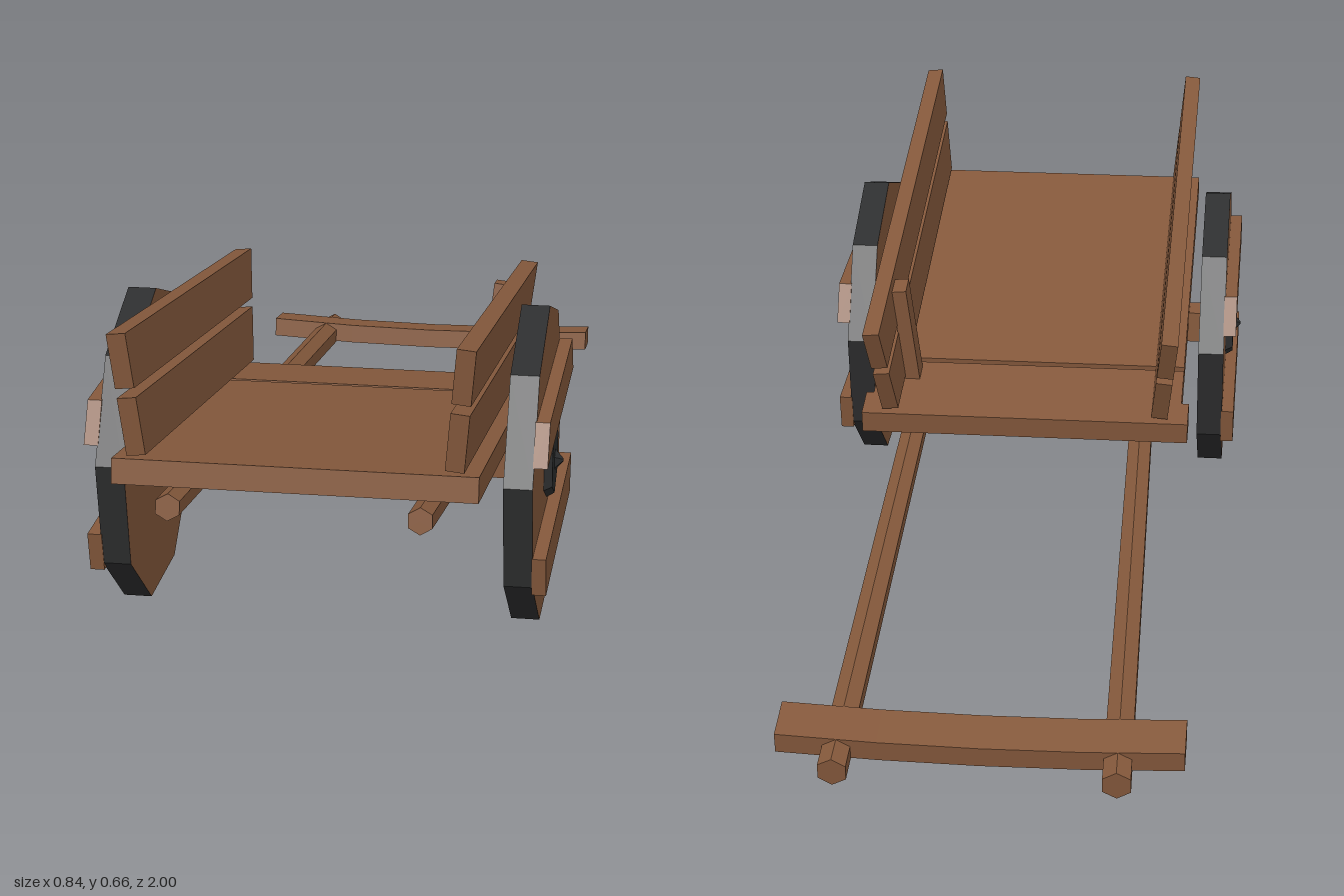
import * as THREE from 'three';

export function createModel() {
  const cart = new THREE.Group();
  cart.name = 'handcart';
  const wood = new THREE.MeshStandardMaterial({ color: 0x85593c });
  wood.name = 'brown wood';
  const iron = new THREE.MeshStandardMaterial({ color: 0x2c2d2e });
  iron.name = 'black iron';
  wood.flatShading = iron.flatShading = true;

  function add(parent, name, geometry, material, x = 0, y = 0, z = 0) {
    const mesh = new THREE.Mesh(geometry, material);
    mesh.name = name;
    mesh.position.set(x, y, z);
    parent.add(mesh);
    return mesh;
  }
  const box = (w, h, d) => new THREE.BoxGeometry(w, h, d);

  // Prism with a trapezoid outline in the z-y plane, thickness along x
  function trapezoid(y0, half0, y1, half1, thickness) {
    const s = new THREE.Shape();
    s.moveTo(-half0, y0);
    s.lineTo(half0, y0);
    s.lineTo(half1, y1);
    s.lineTo(-half1, y1);
    const g = new THREE.ExtrudeGeometry(s, { depth: thickness, bevelEnabled: false });
    g.translate(0, 0, -thickness / 2);
    return g.rotateY(-Math.PI / 2);
  }

  // Tilted bed: local y = 0 is the top of the boards
  const body = new THREE.Group();
  body.name = 'body';
  body.position.set(0.004, 0.351, 0.478);
  body.rotation.x = -0.163;
  cart.add(body);
  add(body, 'bedBoard', box(0.63, 0.045, 0.795), wood, 0, -0.0225, 0.1015);
  add(body, 'rearBoard', box(0.63, 0.045, 0.12), wood, 0, -0.0225, -0.37);
  add(body, 'rearEdgeBoard', box(0.66, 0.045, 0.075), wood, 0, -0.0225, -0.4675);

  // Flared sides, two planks each, longer at the top
  const half = (y) => 0.493 + 0.31 * y;
  for (const side of [-1, 1]) {
    const wall = new THREE.Group();
    wall.name = side > 0 ? 'leftSide' : 'rightSide';
    wall.position.x = side * 0.272;
    wall.rotation.z = -side * 0.1;
    body.add(wall);
    for (const [name, y0, y1] of [['lowerPlank', 0.006, 0.111], ['upperPlank', 0.128, 0.226]]) {
      add(wall, name, trapezoid(y0, half(y0), y1, half(y1), 0.033), wood);
    }
    // Single upright brace inside one wall
    if (side > 0) add(wall, 'bracePost', box(0.03, 0.215, 0.05), wood, -0.03, 0.1, -0.35);
  }

  // Hexagonal shafts running under the bed to the handles
  for (const side of [-1, 1]) {
    const front = new THREE.Vector3(side * 0.217 + 0.004, 0.351, 0.98);
    const rear = new THREE.Vector3(side * 0.25 + 0.004, 0.03, -0.995);
    const dir = front.clone().sub(rear);
    const shaft = add(cart, 'shaft', new THREE.CylinderGeometry(0.024, 0.029, dir.length(), 6), wood);
    shaft.position.copy(front).add(rear).multiplyScalar(0.5);
    shaft.quaternion.setFromUnitVectors(new THREE.Vector3(0, 1, 0), dir.normalize());
  }

  // Slightly sagging crossbar between the handles
  const barGeometry = box(0.725, 0.04, 0.09, 4).clone();
  const bar = new THREE.BoxGeometry(0.725, 0.04, 0.09, 4, 1, 1);
  barGeometry.dispose();
  const p = bar.attributes.position;
  for (let i = 0; i < p.count; i++) {
    const t = p.getX(i) / 0.3625;
    p.setY(i, p.getY(i) - 0.011 * (1 - t * t));
  }
  bar.computeVertexNormals();
  add(cart, 'handleCrossbar', bar, wood, 0, 0.06, -0.9).rotation.x = -0.163;

  // Axle and nine-sided wheels
  const wheelY = 0.2835, wheelZ = 0.478;
  add(cart, 'axle', box(0.7, 0.066, 0.06), wood, 0, wheelY, wheelZ - 0.005);
  const disc = (r0, r1, h, n) =>
    new THREE.CylinderGeometry(r1, r0, h, n, 1, false, -Math.PI / 2).rotateZ(-Math.PI / 2);
  for (const side of [-1, 1]) {
    const wheel = new THREE.Group();
    wheel.name = side > 0 ? 'leftWheel' : 'rightWheel';
    wheel.position.set(side * 0.365, wheelY, wheelZ);
    if (side < 0) wheel.rotation.y = Math.PI;
    cart.add(wheel);
    add(wheel, 'wheelDisc', disc(0.2965, 0.2965, 0.052, 9), [iron, wood, wood]);
    // Battens across the outer face
    add(wheel, 'upperBatten', trapezoid(0.085, 0.274, 0.157, 0.235, 0.026), wood, 0.037);
    add(wheel, 'lowerBatten', trapezoid(-0.163, 0.255, -0.088, 0.27, 0.026), wood, 0.037);
    // Hub plate and pointed axle cap
    add(wheel, 'hub', disc(0.076, 0.066, 0.016, 6), iron, 0.033);
    add(wheel, 'axleCap', disc(0.022, 0.003, 0.016, 6), iron, 0.048);
  }
  return cart;
}
